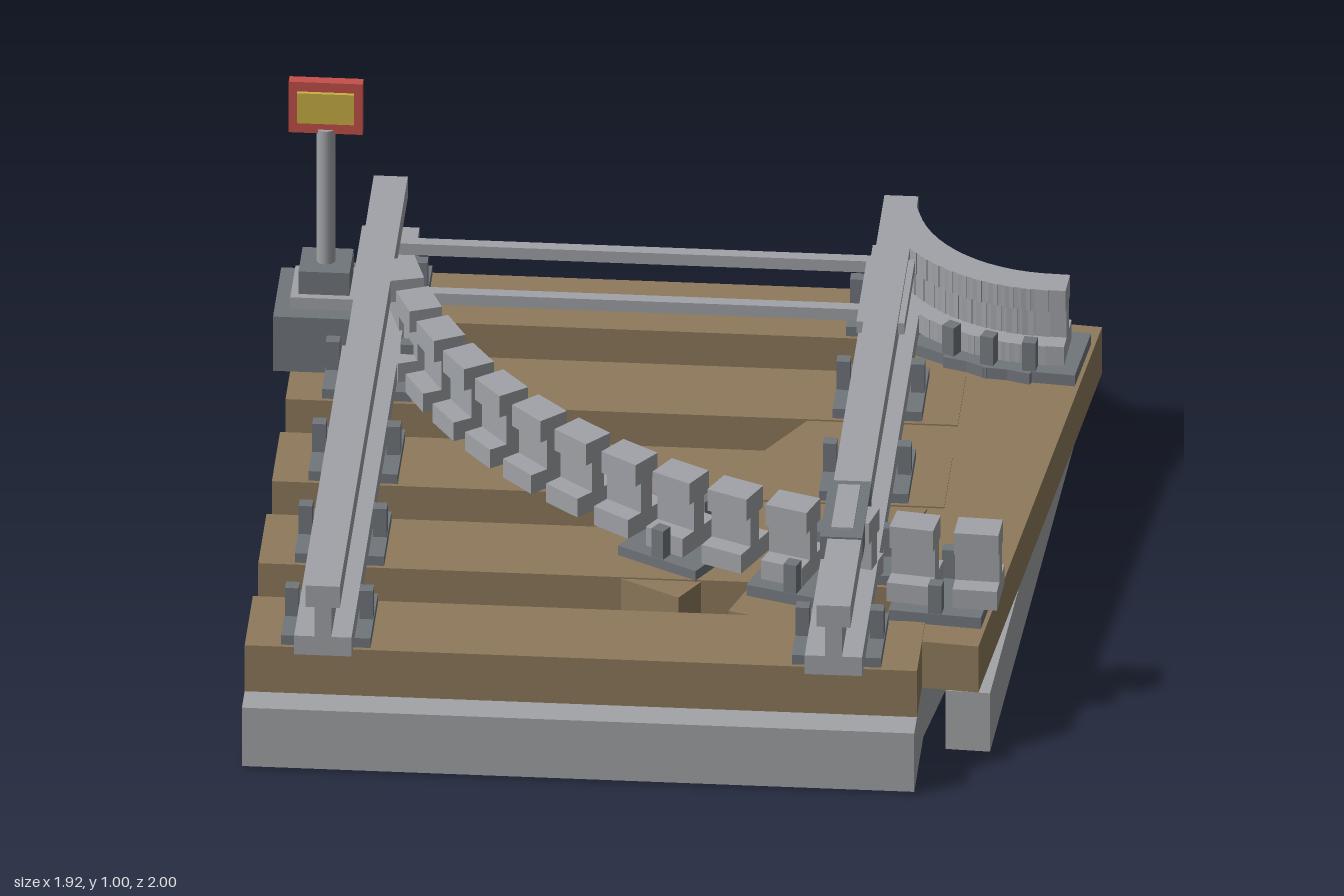
import * as THREE from 'three';

const mat = (name, color) => {
  const m = new THREE.MeshStandardMaterial({ color });
  m.name = name;
  return m;
};

export function createModel() {
  const root = new THREE.Group();
  root.name = 'railwayTurnout';
  const ballast = mat('ballastGrey', 0xa2a4a7);
  const wood = mat('sleeperBrown', 0x8f7a5c);
  const steel = mat('railSteel', 0xa0a3a8);
  const iron = mat('darkIron', 0x71767c);
  const red = mat('signalRed', 0xc4504a);
  const yellow = mat('signalYellow', 0xc8b044);

  // box given by its minimum and maximum on each axis
  const box = (parent, name, m, x0, x1, y0, y1, z0, z1) => {
    const mesh = new THREE.Mesh(new THREE.BoxGeometry(x1 - x0, y1 - y0, z1 - z0), m);
    mesh.position.set((x0 + x1) / 2, (y0 + y1) / 2, (z0 + z1) / 2);
    mesh.name = name;
    parent.add(mesh);
    return mesh;
  };

  // rail with flange, web and head, running along z
  const rail = (parent, name, x, z0, z1) => {
    const g = new THREE.Group();
    g.name = name;
    g.position.x = x;
    box(g, 'flange', steel, -0.0675, 0.0675, 0.31, 0.36, z0, z1);
    box(g, 'web', steel, -0.02, 0.02, 0.36, 0.438, z0, z1);
    box(g, 'head', steel, -0.04, 0.04, 0.438, 0.495, z0, z1);
    parent.add(g);
  };

  // base plate under a rail with a clip on either side
  const chair = (parent, x, z, y) => {
    box(parent, 'tiePlate', iron, x - 0.105, x + 0.105, y, 0.31, z - 0.11, z + 0.11);
    for (const s of [-1, 1]) {
      const cx = x + s * 0.0875;
      box(parent, 'railClip', iron, cx - 0.016, cx + 0.016, 0.3, 0.385, z - 0.016, z + 0.016);
    }
  };

  // main track
  const leftX = -0.73, rightX = 0.47;
  box(root, 'mainBallast', ballast, -0.92, 0.66, 0.006, 0.162, -1, 1);
  for (let i = -2; i <= 2; i++) {
    const z = i * 0.4;
    box(root, 'sleeper', wood, -0.92, 0.66, 0.158, 0.285, z - 0.12, z + 0.12);
    for (const x of [leftX, rightX]) chair(root, x, z, 0.284);
  }
  rail(root, 'mainRailOuter', leftX, -1, 1);
  rail(root, 'mainRailInner', rightX, -1, 1);

  // frame turned about the centre of the curve, local x pointing outwards
  const radial = (name, degrees) => {
    const g = new THREE.Group();
    g.name = name;
    g.position.set(0.86, 0, -1);
    g.rotation.y = Math.PI + THREE.MathUtils.degToRad(degrees);
    root.add(g);
    return g;
  };

  // diverging track in short straight segments
  const half = 0.0525;
  for (let i = 3; i <= 16; i++) {
    const g = radial('curveSegment', i * 5.44);
    box(g, 'curveBallast', ballast, 0.2, 1.78, 0, 0.156, -half, half);
    rail(g, 'curveRailInner', 0.39, -half, half);
    rail(g, 'curveRailOuter', 1.59, -half, half);
  }
  for (const a of [60, 72, 84]) {
    const g = radial('curveSleeperSet', a);
    box(g, 'curveSleeper', wood, 0.2, 1.78, 0.158, 0.281, -0.12, 0.12);
    chair(g, 0.39, 0, 0.28);
    chair(g, 1.59, 0, 0.28);
  }

  // switch gear: stretcher rods, slide bar and crossing block
  for (const z of [-0.835, -0.6]) {
    box(root, 'stretcherRod', steel, leftX, rightX, 0.385, 0.415, z - 0.015, z + 0.015);
  }
  box(root, 'slideBar', steel, 0.412, 0.525, 0.455, 0.485, -0.71, -0.4);
  box(root, 'crossingBlock', iron, 0.412, 0.512, 0.44, 0.5, 0.4, 0.675);
  box(root, 'crossingCap', steel, 0.436, 0.488, 0.499, 0.507, 0.43, 0.64);

  // switch stand with its target
  const stand = new THREE.Group();
  stand.name = 'switchStand';
  stand.position.set(-0.845, 0, -0.535);
  root.add(stand);
  box(stand, 'standBase', iron, -0.115, 0.075, 0.285, 0.43, -0.12, 0.12);
  box(stand, 'standStep', steel, -0.078, 0.078, 0.43, 0.46, -0.078, 0.078);
  box(stand, 'standSocket', iron, -0.06, 0.06, 0.46, 0.52, -0.06, 0.06);
  const post = new THREE.Mesh(new THREE.CylinderGeometry(0.022, 0.022, 0.36, 16), steel);
  post.position.y = 0.695;
  post.name = 'post';
  stand.add(post);
  box(stand, 'target', red, -0.087, 0.087, 0.865, 1.0, -0.015, 0.012);
  box(stand, 'targetPanel', yellow, -0.067, 0.067, 0.895, 0.975, 0.012, 0.0215);

  return root;
}
